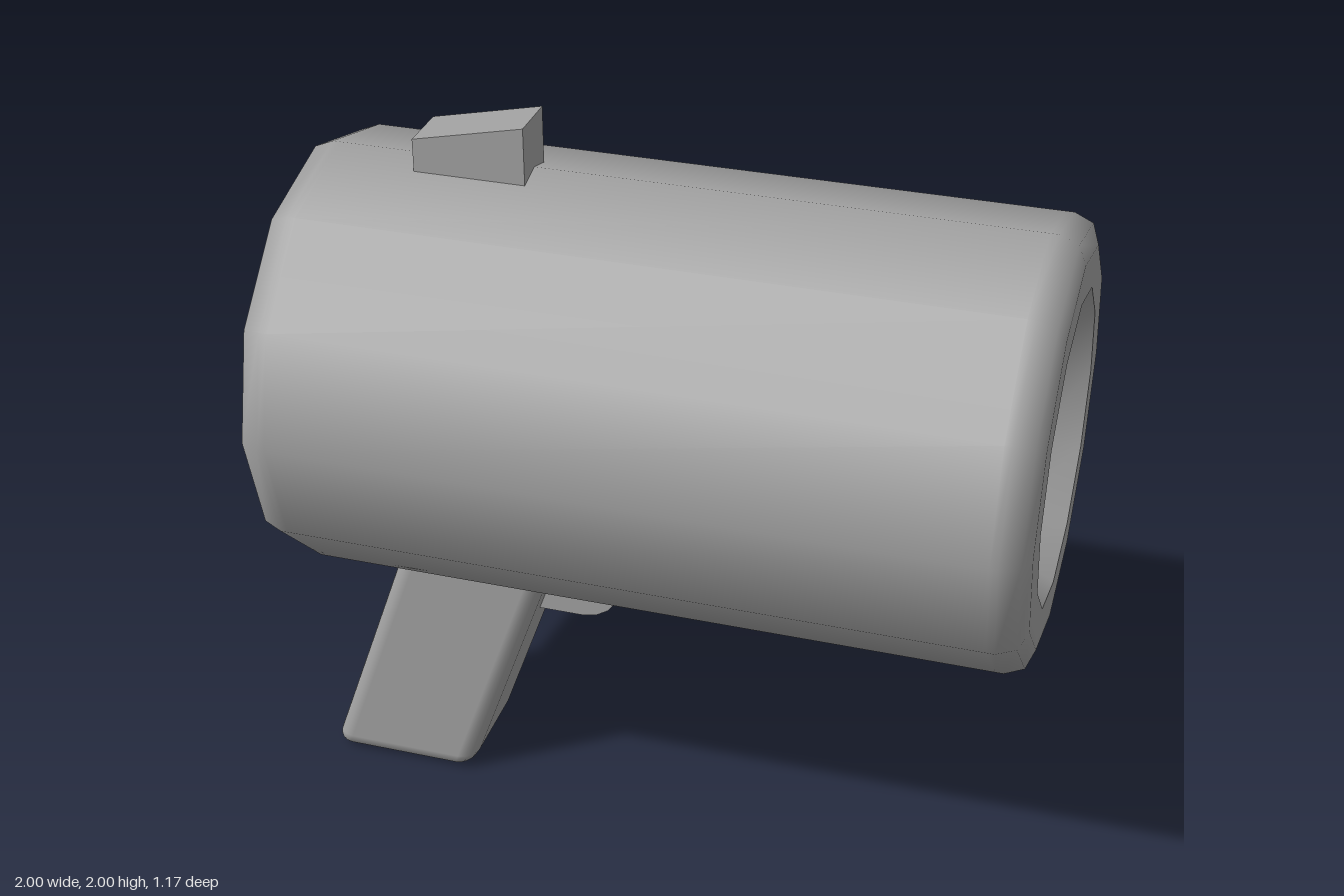
import * as THREE from 'three';
import { toCreasedNormals } from 'three/addons/utils/BufferGeometryUtils.js';
import { RoundedBoxGeometry } from 'three/addons/geometries/RoundedBoxGeometry.js';

export function createModel() {
  const group = new THREE.Group();
  const grey = new THREE.MeshStandardMaterial({ color: 0xa0a0a0 });
  grey.name = 'grey';

  const add = (name, geometry) => {
    const mesh = new THREE.Mesh(geometry, grey);
    mesh.name = name;
    group.add(mesh);
    return mesh;
  };

  // Side profile extruded evenly about z = 0
  const plate = (shape, depth) =>
    new THREE.ExtrudeGeometry(shape, { depth, bevelEnabled: false, curveSegments: 4 })
      .translate(0, 0, -depth / 2);

  // Twelve-sided barrel with rounded ends and a recessed muzzle: [radius, x]
  const profile = [
    [0, -1], [0.49, -1], [0.51, -1], [0.562, -0.98], [0.583, -0.93], [0.583, -0.91],
    [0.583, 0.91], [0.583, 0.93], [0.562, 0.98], [0.51, 1], [0.49, 1],
    [0.405, 1], [0.335, 0.88], [0, 0.88],
  ].map(([r, x]) => new THREE.Vector2(r, x));
  const barrel = toCreasedNormals(new THREE.LatheGeometry(profile, 12), 0.95);
  barrel.rotateZ(-Math.PI / 2).translate(0, 1.284, 0);
  add('barrel', barrel);

  // Grip: rounded box leaning forward at the top
  const lean = new THREE.Matrix4().makeShear(0, 0, 0.355, 0, 0, 0);
  lean.set(1, 0.355, 0, 0, 0, 1, 0, 0, 0, 0, 1, 0, 0, 0, 0, 1);
  const grip = new RoundedBoxGeometry(0.425, 0.84, 0.335, 2, 0.05);
  grip.applyMatrix4(lean).translate(-0.655, 0.425, 0);
  add('grip', grip);

  // Trigger with a rounded lower front corner
  const trigger = new THREE.Shape();
  trigger.moveTo(-0.45, 0.535);
  trigger.lineTo(-0.28, 0.535);
  trigger.bezierCurveTo(-0.22, 0.535, -0.17, 0.58, -0.17, 0.64);
  trigger.lineTo(-0.17, 0.76);
  trigger.lineTo(-0.45, 0.76);
  trigger.closePath();
  add('trigger', plate(trigger, 0.07));

  // Wedge-shaped sight on top
  const sight = new THREE.Shape([
    [-0.68, 1.82], [-0.385, 1.82], [-0.385, 2], [-0.68, 1.935],
  ].map(([x, y]) => new THREE.Vector2(x, y)));
  add('sight', plate(sight, 0.145));

  return group;
}
